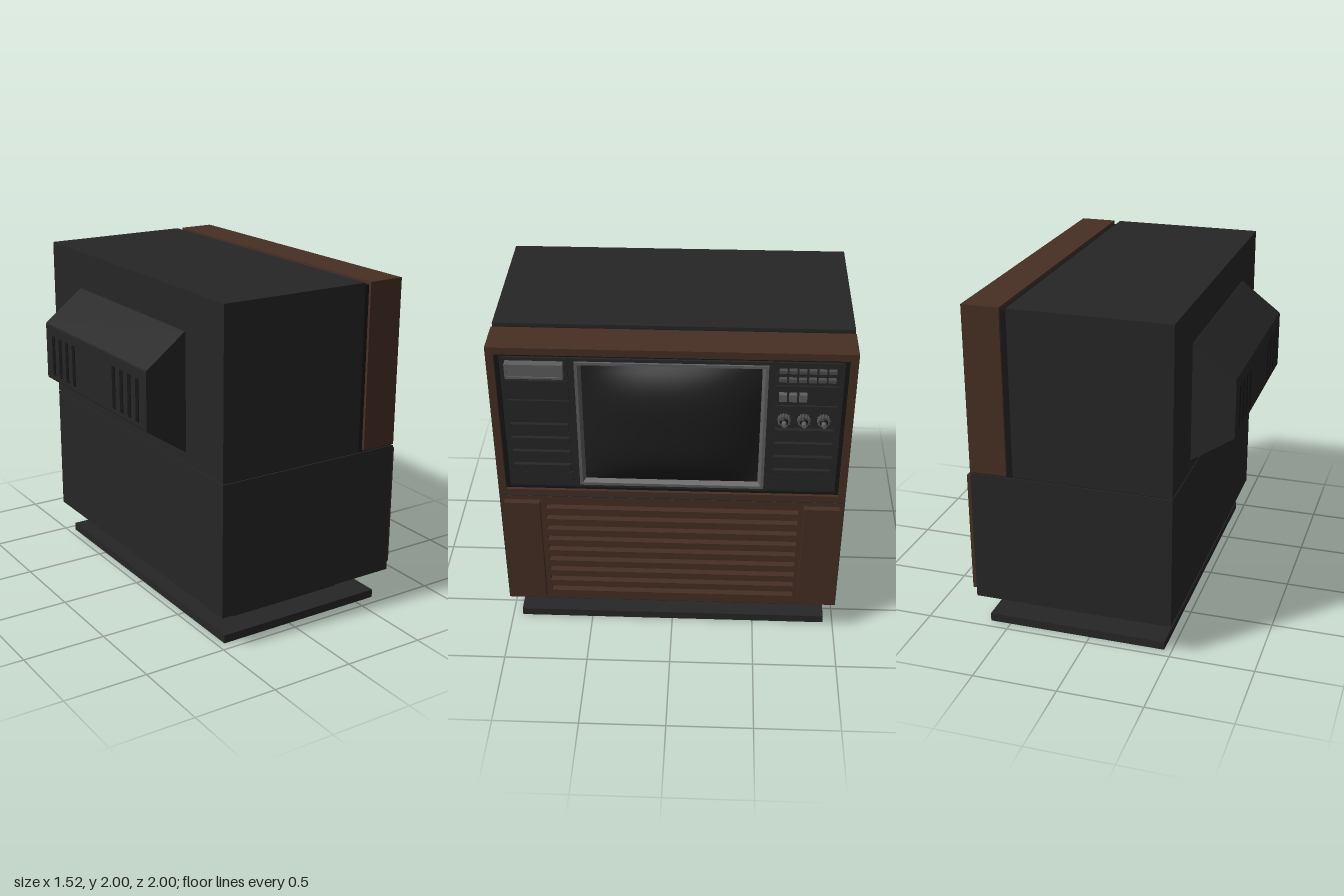
import * as THREE from 'three';

const mat = (name, color, extra = {}) => {
  const m = new THREE.MeshStandardMaterial({ color, ...extra });
  m.name = name;
  return m;
};

export function createModel() {
  const root = new THREE.Group();
  root.name = 'consoleTelevision';
  const black = mat('blackCasing', 0x262626);
  const dark = mat('darkRecess', 0x161616);
  const wood = mat('brownWood', 0x472f24);
  const grey = mat('greyMetal', 0x5e5e5e, { side: THREE.DoubleSide });
  const button = mat('greyButtons', 0x4c4c4c);
  const glass = mat('screenGlass', 0x1d1d1d);

  const add = (name, geo, material) => {
    const m = new THREE.Mesh(geo, material);
    m.name = name;
    root.add(m);
    return m;
  };
  // Box from its limits on each axis
  const box = (name, material, x0, x1, y0, y1, z0, z1) =>
    add(name, new THREE.BoxGeometry(x1 - x0, y1 - y0, z1 - z0)
      .translate((x0 + x1) / 2, (y0 + y1) / 2, (z0 + z1) / 2), material);
  const rect = (Type, w0, w1, y0, y1) => {
    const s = new Type();
    s.moveTo(w0, y0); s.lineTo(w1, y0); s.lineTo(w1, y1); s.lineTo(w0, y1); s.closePath();
    return s;
  };
  // Upright panel facing +x with rectangular holes; limits are [-z, -z, y, y]
  const panel = (name, material, x0, x1, outer, holes) => {
    const s = rect(THREE.Shape, ...outer);
    holes.forEach(h => s.holes.push(rect(THREE.Path, ...h)));
    const g = new THREE.ExtrudeGeometry(s, { depth: x1 - x0, bevelEnabled: false });
    return add(name, g.rotateY(Math.PI / 2).translate(x0, 0, 0), material);
  };

  // Pedestal
  box('basePlate', black, -0.455, 0.625, 0, 0.05, -0.94, 0.94);
  box('pedestalNeck', black, -0.29, 0.46, 0.05, 0.2, -0.775, 0.775);

  // Lower cabinet: black shell, grooved wooden front and two side pilasters
  box('lowerCabinet', black, -0.51, 0.635, 0.2, 1.0, -1, 1);
  panel('lowerShellRim', black, 0.635, 0.679, [-1, 1, 0.2, 1], [[-0.995, 0.995, 0.205, 0.995]]);
  box('grooveBacking', wood, 0.635, 0.642, 0.21, 0.99, -0.99, 0.99);
  const grooves = [];
  for (let i = 0; i < 9; i++) {
    const y = 0.285 + i * 0.08;
    grooves.push([-0.735, 0.735, y - 0.019, y + 0.019]);
  }
  panel('groovedFront', wood, 0.642, 0.68, [-0.997, 0.997, 0.203, 0.997], grooves);
  for (const s of [-1, 1])
    box('pilaster', wood, 0.68, 0.715, 0.235, 0.97, Math.min(s * 0.765, s * 0.97), Math.max(s * 0.765, s * 0.97));

  // Upper cabinet, shadow groove and wooden frame
  box('upperCabinet', black, -0.51, 0.42, 1.008, 2, -1, 1);
  box('cabinetSeam', dark, -0.5, 0.67, 0.995, 1.012, -0.99, 0.99);
  box('shadowGroove', dark, 0.42, 0.46, 1.012, 1.982, -0.982, 0.982);
  panel('woodFrame', wood, 0.46, 0.68, [-1, 1, 1.008, 2], [[-0.957, 0.957, 1.045, 1.957]]);
  panel('frameLiner', dark, 0.6, 0.662, [-0.957, 0.957, 1.045, 1.957], [[-0.935, 0.935, 1.06, 1.94]]);
  box('controlPanel', black, 0.46, 0.648, 1.045, 1.957, -0.957, 0.957);

  // Sections and slats on both sides of the screen
  for (const s of [-1, 1]) {
    const z0 = Math.min(s * 0.565, s * 0.91), z1 = Math.max(s * 0.565, s * 0.91);
    for (const [y0, y1] of [[1.79, 1.93], [1.66, 1.78], [1.515, 1.65], [1.075, 1.16]])
      box('sectionPlate', black, 0.648, 0.66, y0, y1, z0, z1);
    for (let i = 0; i < 4; i++) {
      const y = 1.17 + i * 0.093;
      box('slat', black, 0.648, 0.672, y, y + 0.048, z0 + 0.01, z1 - 0.01);
    }
  }

  // Name plate with a raised inner field
  panel('plateFrame', grey, 0.66, 0.705, [-0.9, -0.585, 1.82, 1.91], [[-0.885, -0.6, 1.832, 1.898]]);
  box('plateField', grey, 0.66, 0.698, 1.832, 1.898, 0.6, 0.885);

  // Push buttons
  for (let r = 0; r < 2; r++)
    for (let i = 0; i < 6; i++) {
      const z = -0.603 - i * 0.053, y = 1.83 + r * 0.055;
      box('smallButton', button, 0.66, 0.685, y - 0.01, y + 0.01, z - 0.021, z + 0.021);
    }
  for (let i = 0; i < 3; i++) {
    const z = -0.607 - i * 0.055;
    box('squareButton', grey, 0.66, 0.69, 1.698, 1.742, z - 0.021, z + 0.021);
  }

  // Serrated knobs
  const gear = new THREE.Shape();
  for (let i = 0; i < 48; i++) {
    const a = i / 48 * Math.PI * 2, r = i % 4 < 2 ? 0.036 : 0.03;
    gear[i ? 'lineTo' : 'moveTo'](Math.cos(a) * r, Math.sin(a) * r);
  }
  gear.closePath();
  for (let i = 0; i < 3; i++) {
    const z = -0.62 - i * 0.109;
    add('knob', new THREE.ExtrudeGeometry(gear, { depth: 0.035, bevelEnabled: false })
      .rotateY(Math.PI / 2).translate(0.66, 1.57, z), button);
    add('knobRing', new THREE.CylinderGeometry(0.019, 0.023, 0.012, 16)
      .rotateZ(-Math.PI / 2).translate(0.7, 1.57, z), dark);
    add('knobStem', new THREE.CylinderGeometry(0.013, 0.015, 0.045, 12)
      .rotateZ(-Math.PI / 2).translate(0.713, 1.57, z), grey);
  }

  // Screen surround: black rim, metal frame and sloping inner lip
  const cy = 1.503;
  panel('screenRim', black, 0.648, 0.668, [-0.55, 0.55, 1.065, 1.935], [[-0.52, 0.52, 1.095, 1.91]]);
  panel('screenFrame', grey, 0.648, 0.68, [-0.525, 0.525, 1.088, 1.916], [[-0.508, 0.508, 1.105, 1.9]]);
  const lip = new THREE.CylinderGeometry(Math.SQRT2, Math.SQRT2 * 0.965, 0.03, 4, 1, true, Math.PI / 4)
    .toNonIndexed();
  lip.rotateZ(-Math.PI / 2).scale(1, 0.398, 0.508).translate(0.664, cy, 0);
  lip.computeVertexNormals();
  add('screenLip', lip, grey);

  // Bulging glass
  const screen = new THREE.PlaneGeometry(2, 2, 20, 20);
  const p = screen.attributes.position;
  for (let i = 0; i < p.count; i++) {
    const u = p.getX(i), v = p.getY(i);
    const bulge = (1 - Math.abs(u) ** 2.4) * (1 - Math.abs(v) ** 3);
    p.setXYZ(i, 0.65 + 0.107 * bulge, cy + v * 0.386, -u * 0.495);
  }
  screen.computeVertexNormals();
  add('screen', screen, glass);

  // Tapered rear housing with vents
  const rear = new THREE.Shape();
  [[-0.5, 1.07], [-0.5, 1.775], [-0.515, 1.77], [-0.757, 1.585], [-0.76, 1.575], [-0.76, 1.245], [-0.757, 1.235], [-0.515, 1.075]]
    .forEach(([x, y], i) => rear[i ? 'lineTo' : 'moveTo'](x, y));
  rear.closePath();
  add('rearHousing', new THREE.ExtrudeGeometry(rear, { depth: 1.24, bevelEnabled: false })
    .translate(0, 0, -0.62), black);
  for (const s of [-1, 1])
    for (let i = 0; i < 4; i++) {
      const z = s * (0.25 + i * 0.09);
      box('rearVent', dark, -0.763, -0.757, 1.27, 1.52, z - 0.017, z + 0.017);
    }
  return root;
}
